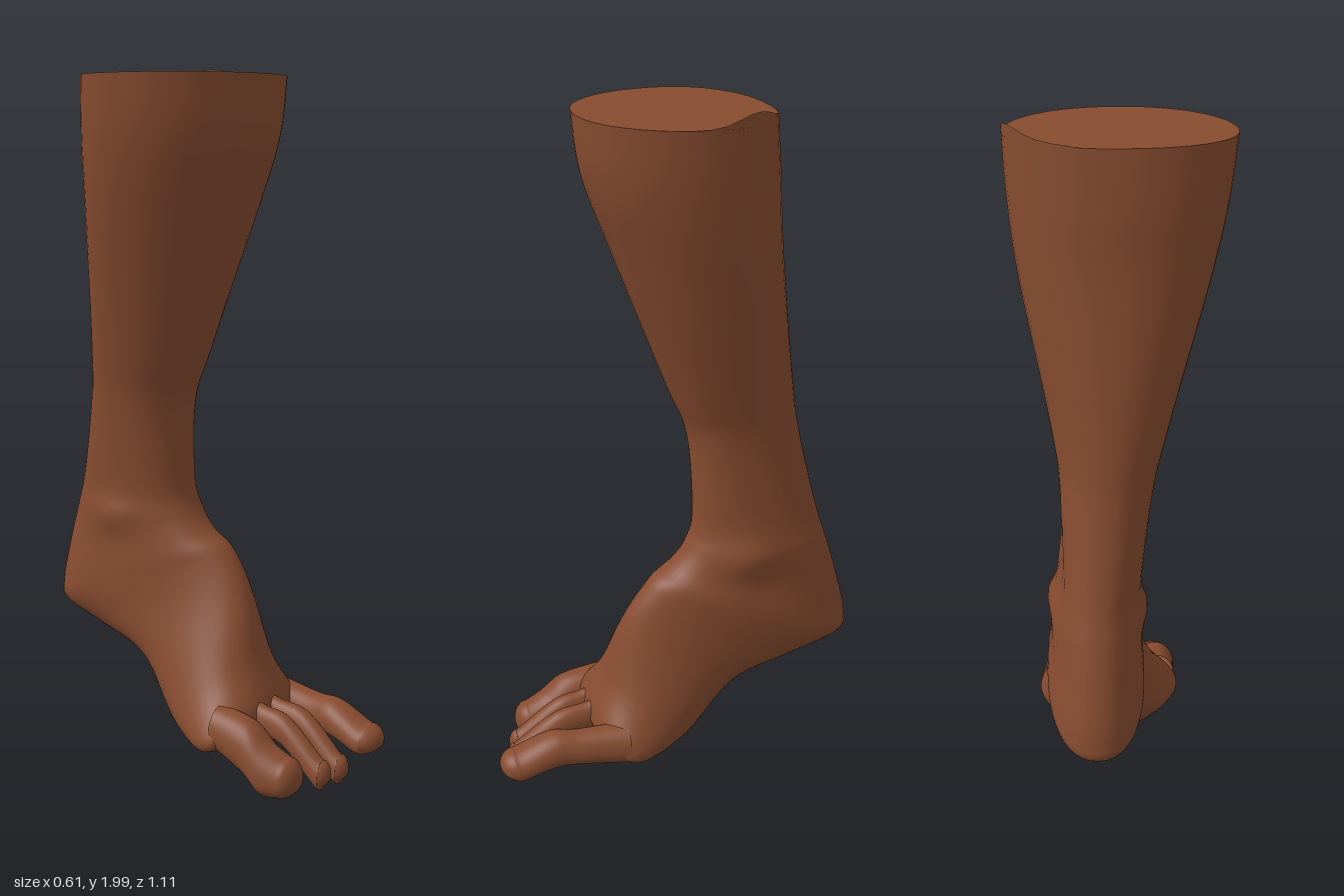
import * as THREE from 'three';

const AROUND = 48;
const { smoothstep } = THREE.MathUtils;

// Smooth interpolation of numeric rows (Catmull-Rom per column)
function refine(rows, steps) {
  const out = [];
  const at = i => rows[Math.max(0, Math.min(rows.length - 1, i))];
  for (let i = 0; i < rows.length - 1; i++) {
    for (let s = 0; s < steps; s++) {
      const t = s / steps;
      out.push(rows[i].map((b, k) => {
        const a = at(i - 1)[k], c = at(i + 1)[k], d = at(i + 2)[k];
        return b + 0.5 * t * (c - a + t * (2 * a - 5 * b + 4 * c - d + t * (3 * (b - c) + d - a)));
      }));
    }
  }
  out.push(rows[rows.length - 1]);
  return out;
}

// Row: front z, front y, back z, back y, min x, max x.
// Each row is a rounded loop, egg-shaped at the calf and the foot.
function ringPoint([fz, fy, bz, by, x0, x1], i) {
  const a = (i / AROUND) * Math.PI * 2;
  const soft = v => Math.sign(v) * Math.abs(v) ** 0.92;
  const c = soft(Math.cos(a)), s = soft(Math.sin(a)), y = (fy + by) / 2;
  const egg = 0.13 * (smoothstep(y, 1.05, 1.65) + 1 - smoothstep(y, 0.4, 0.62));
  return new THREE.Vector3(
    (x0 + x1) / 2 + (x1 - x0) / 2 * s * (1 - egg * c),
    y + (fy - by) / 2 * c,
    (fz + bz) / 2 + (fz - bz) / 2 * c
  );
}

function loft(rows, steps, shape = p => p) {
  const rings = refine(rows, steps), pos = [], idx = [];
  for (const r of rings) {
    for (let i = 0; i < AROUND; i++) pos.push(...shape(ringPoint(r, i)).toArray());
  }
  for (let j = 0; j < rings.length - 1; j++) {
    for (let i = 0; i < AROUND; i++) {
      const n = (i + 1) % AROUND, a = j * AROUND + i, b = j * AROUND + n;
      idx.push(a, a + AROUND, b, b, a + AROUND, b + AROUND);
    }
  }
  // close the far end
  const e = rings[rings.length - 1], base = (rings.length - 1) * AROUND;
  pos.push((e[4] + e[5]) / 2, (e[1] + e[3]) / 2, (e[0] + e[2]) / 2);
  for (let i = 0; i < AROUND; i++) idx.push(base + i, rings.length * AROUND, base + (i + 1) % AROUND);
  const g = new THREE.BufferGeometry();
  g.setAttribute('position', new THREE.Float32BufferAttribute(pos, 3));
  g.setIndex(idx);
  g.computeVertexNormals();
  return g;
}

// Calf, ankle, heel and instep: loops turn from level to upright
const LEG = [
  [0.24, 1.965, -0.28, 1.965, -0.30, 0.30],
  [0.22, 1.80, -0.295, 1.80, -0.28, 0.29],
  [0.15, 1.60, -0.31, 1.60, -0.235, 0.265],
  [0.00, 1.20, -0.365, 1.20, -0.125, 0.19],
  [-0.06, 1.04, -0.39, 1.04, -0.085, 0.172],
  [-0.07, 0.80, -0.45, 0.79, -0.053, 0.18],
  [-0.045, 0.71, -0.485, 0.68, -0.052, 0.195],
  [0.00, 0.655, -0.525, 0.55, -0.055, 0.20],
  [0.05, 0.625, -0.555, 0.42, -0.06, 0.212],
  [0.08, 0.595, -0.54, 0.355, -0.06, 0.212],
  [0.125, 0.53, -0.38, 0.305, -0.06, 0.20],
  [0.165, 0.44, -0.20, 0.25, -0.08, 0.197],
  [0.205, 0.31, -0.04, 0.10, -0.14, 0.222],
  [0.25, 0.215, 0.11, 0.055, -0.19, 0.247],
  [0.262, 0.165, 0.20, 0.09, -0.16, 0.215]
];

// Ankle bones, inner calf groove and the raised rim of the cut
function muscles(p) {
  const bell = (v, c, w) => Math.exp(-(((v - c) / w) ** 2));
  const side = Math.sign(p.x - 0.07);
  const bone = side > 0 ? bell(p.y, 0.70, 0.06) * bell(p.z, -0.20, 0.08)
    : bell(p.y, 0.69, 0.05) * bell(p.z, -0.27, 0.08);
  const lineZ = -0.2 + (p.y - 1) * 0.58;
  const groove = side > 0 ? 0.02 * bell(p.z, lineZ, 0.045) * bell(p.y, 1.05, 0.28) : 0;
  p.x += side * (0.018 * bone - groove);
  if (p.x > 0.1) p.y += 0.035 * bell(p.z, -0.15, 0.08) * bell(p.y, 1.965, 0.06);
  return p;
}

// Toe points: x, y, z, half width, half height; the tip is rounded off
function toe(tip, points) {
  const [x, y, z, w, h] = points[points.length - 1];
  const all = [...points];
  for (const a of [0.4, 0.75, 1.05, 1.3, 1.47]) {
    all.push([x, y, z + tip * Math.sin(a), w * Math.cos(a), h * Math.cos(a)]);
  }
  return loft(all.map(([px, py, pz, pw, ph]) => [pz, py + ph, pz, py - ph, px - pw, px + pw]), 4);
}

// Slim curled middle toe, leaning sideways towards its tip
const middleToe = (x, lean, reach) => toe(0.035, [
  [x, 0.22, 0.14, 0.03, 0.05],
  [x, 0.165, 0.25, 0.031, 0.045],
  [x, 0.148, 0.34 + reach, 0.034, 0.042],
  [x + lean, 0.06, 0.455 + reach, 0.033, 0.042]
]);

export function createModel() {
  const model = new THREE.Group();
  model.name = 'lowerLegAndFoot';
  const skin = new THREE.MeshStandardMaterial({ color: 0x874c30, side: THREE.DoubleSide });
  skin.name = 'brown skin';
  const add = (name, geometry) => {
    const mesh = new THREE.Mesh(geometry, skin);
    mesh.name = name;
    model.add(mesh);
  };

  add('legAndFoot', loft(LEG, 6, muscles));

  // Flat cut at the top of the calf
  const outline = Array.from({ length: AROUND }, (_, i) => {
    const p = ringPoint(LEG[0], i);
    return new THREE.Vector2(p.x, -p.z);
  });
  const cut = new THREE.ShapeGeometry(new THREE.Shape(outline));
  cut.rotateX(-Math.PI / 2).translate(0, 1.965, 0);
  add('calfCut', cut);

  add('bigToe', toe(0.06, [
    [0.187, 0.147, 0.18, 0.058, 0.06],
    [0.165, 0.147, 0.32, 0.052, 0.05],
    [0.152, 0.148, 0.40, 0.058, 0.052],
    [0.143, 0.115, 0.495, 0.062, 0.045]
  ]));
  add('secondToe', middleToe(0.045, -0.015, 0.02));
  add('thirdToe', middleToe(-0.022, -0.011, 0));
  add('outerToe', toe(0.05, [
    [-0.122, 0.16, 0.18, 0.06, 0.06],
    [-0.126, 0.125, 0.29, 0.064, 0.075],
    [-0.131, 0.08, 0.35, 0.066, 0.072],
    [-0.127, 0.068, 0.40, 0.062, 0.058]
  ]));
  return model;
}
